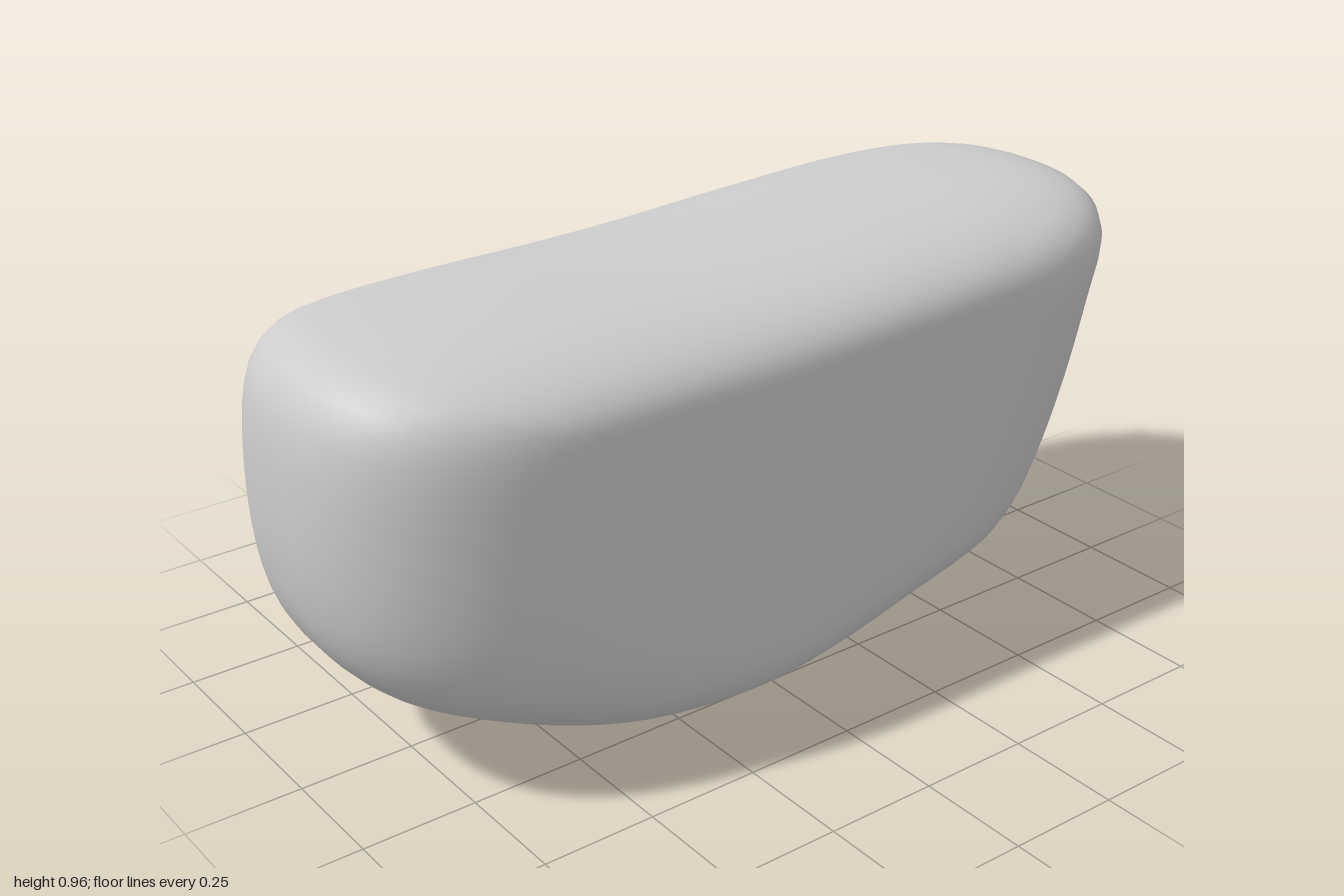
import * as THREE from 'three';

// Side outline of the body, clockwise seen from the front
const OUTLINE = [
  [-1, 0.6], [-0.985, 0.8], [-0.955, 0.87], [-0.9, 0.91], [-0.8, 0.926], [-0.6, 0.934],
  [-0.2, 0.935], [0, 0.94], [0.4, 0.958], [0.7, 0.966], [0.88, 0.953], [0.97, 0.92],
  [1, 0.87], [0.97, 0.75], [0.9, 0.53], [0.82, 0.35], [0.75, 0.245], [0.66, 0.175],
  [0.55, 0.137], [0.4, 0.1], [0.2, 0.05], [0, 0.013], [-0.15, 0.003], [-0.35, 0.018],
  [-0.5, 0.05], [-0.7, 0.13], [-0.87, 0.23], [-0.95, 0.33], [-0.985, 0.43],
];
const SEGMENTS = 120;
const ROWS = 40;
const HALF_DEPTH = 0.402;
const ROUNDING = 2.5; // superellipse exponent of the rounded rim

function cushionGeometry() {
  const curve = new THREE.CatmullRomCurve3(
    OUTLINE.map(([x, y]) => new THREE.Vector3(x, y, 0)), true, 'centripetal');
  const points = curve.getSpacedPoints(SEGMENTS).slice(0, SEGMENTS);
  const positions = [];
  const index = [];

  // Outline loops from back to front, shrinking towards the flat faces
  for (let k = 0; k <= ROWS; k++) {
    const a = (k / ROWS - 0.5) * Math.PI;
    const z = Math.sign(a) * HALF_DEPTH * Math.abs(Math.sin(a)) ** (2 / ROUNDING);
    const inset = 1 - Math.max(0, Math.cos(a)) ** (2 / ROUNDING);
    for (const p of points) {
      positions.push(
        p.x * (1 - 0.5 * inset),
        THREE.MathUtils.lerp(p.y, 0.2 + 0.61 * p.y, inset),
        z);
    }
  }
  for (let k = 0; k < ROWS; k++) {
    for (let i = 0; i < SEGMENTS; i++) {
      const j = (i + 1) % SEGMENTS;
      const a = k * SEGMENTS + i, b = a + SEGMENTS;
      const c = k * SEGMENTS + j, d = c + SEGMENTS;
      index.push(a, b, c, b, d, c);
    }
  }

  // Flat back and front faces
  const back = positions.length / 3;
  positions.push(0, 0.5, -HALF_DEPTH, 0, 0.5, HALF_DEPTH);
  const last = ROWS * SEGMENTS;
  for (let i = 0; i < SEGMENTS; i++) {
    const j = (i + 1) % SEGMENTS;
    index.push(back, i, j, back + 1, last + j, last + i);
  }

  const geometry = new THREE.BufferGeometry();
  geometry.setAttribute('position', new THREE.Float32BufferAttribute(positions, 3));
  geometry.setIndex(index);
  geometry.computeVertexNormals();
  return geometry;
}

export function createModel() {
  const group = new THREE.Group();
  const body = new THREE.Mesh(
    cushionGeometry(), new THREE.MeshStandardMaterial({ color: 0xcccccc }));
  body.name = 'roundedBody';
  group.add(body);
  return group;
}
